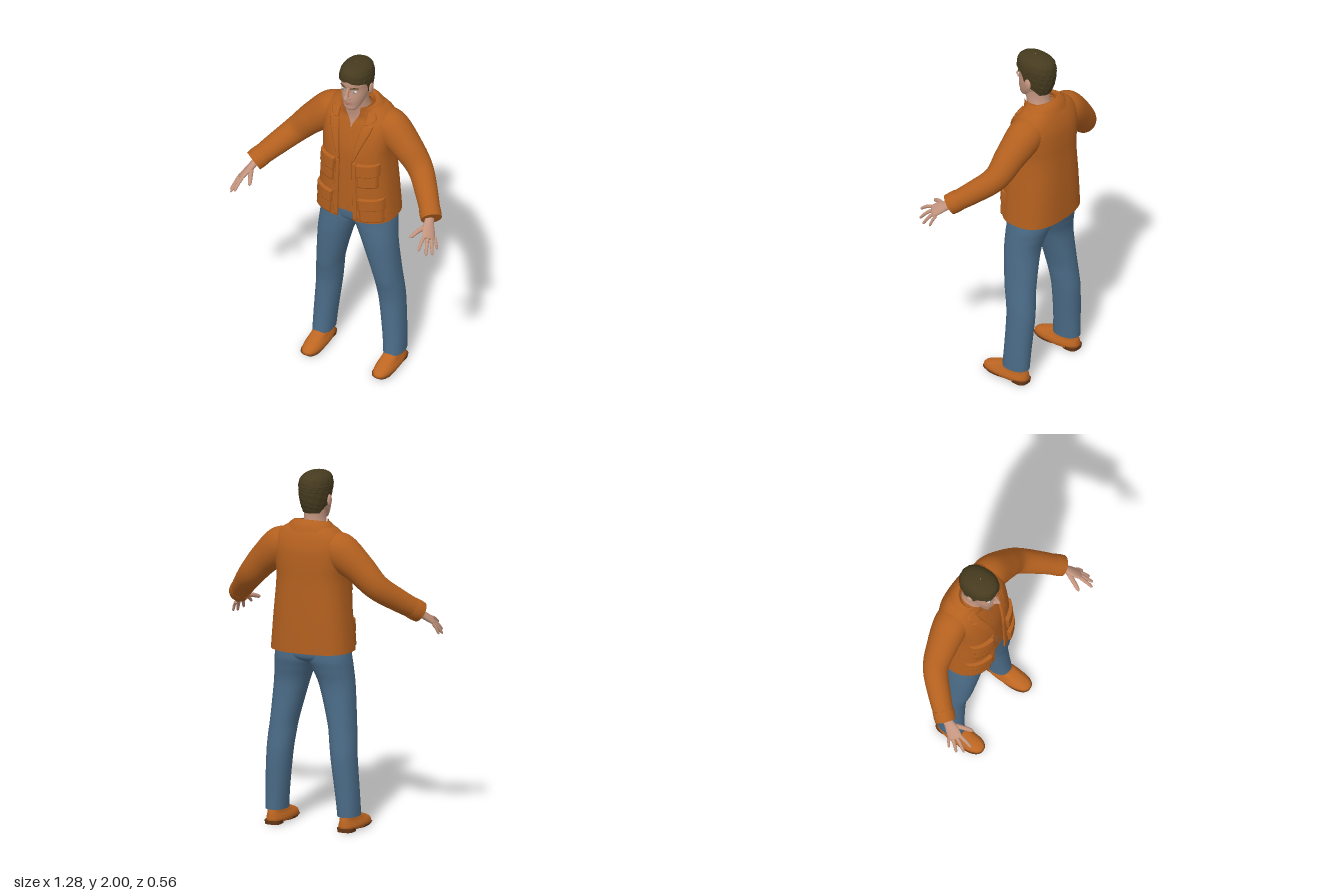
import * as THREE from 'three';

const flat = (color, side = THREE.FrontSide) => new THREE.MeshStandardMaterial({ color, side });
const mats = {
  jacket: flat(0xb3601f, THREE.DoubleSide), jeans: flat(0x4b6c88), skin: flat(0xc4957f),
  hair: flat(0x463b1f, THREE.DoubleSide), shoe: flat(0xbd6622), sole: flat(0x6b3a18),
  eyeWhite: flat(0xd8d4cf), iris: flat(0x5c8398), lips: flat(0xa9705f),
};
for (const k in mats) mats[k].name = k;

// Smooth row of a table at fractional index t
function at(T, t) {
  const i = Math.min(Math.floor(t), T.length - 2), f = t - i;
  const row = k => T[Math.max(0, Math.min(T.length - 1, k))];
  return T[i].map((b, k) => {
    const a = row(i - 1)[k], c = row(i + 1)[k], d = row(i + 2)[k];
    return b + 0.5 * f * (c - a + f * (2 * a - 5 * b + 4 * c - d + f * (3 * (b - c) + d - a)));
  });
}

function build(name, mat, pos, idx) {
  const g = new THREE.BufferGeometry();
  g.setAttribute('position', new THREE.Float32BufferAttribute(pos, 3));
  g.setIndex(idx);
  g.computeVertexNormals();
  const m = new THREE.Mesh(g, mat);
  m.name = name;
  return m;
}

// Skin over rings [cx, cy, cz, ru, rv, frontGap]; side = null keeps rings level, else it is the ru axis
function loft(name, mat, T, { side = null, n = 2, seg = 36, steps = 6, tilt = 0, bump = null } = {}) {
  const pos = [], idx = [], rows = (T.length - 1) * steps, open = T.some(r => r[5] > 0);
  const cols = open ? seg + 1 : seg, sup = v => Math.sign(v) * Math.abs(v) ** (2 / n);
  const P = Array.from({ length: rows + 1 }, (_, i) => at(T, i / steps));
  P.forEach((r, i) => {
    const u = new THREE.Vector3(1, 0, 0), v = new THREE.Vector3(0, 0, 1);
    if (side) {
      const a = P[Math.max(0, i - 1)], b = P[Math.min(rows, i + 1)];
      const t = new THREE.Vector3(b[0] - a[0], b[1] - a[1], b[2] - a[2]).normalize();
      u.set(...side).addScaledVector(t, -t.dot(u.clone().set(...side))).normalize();
      v.crossVectors(u, t);
    }
    const gap = Math.max(0, r[5] || 0);
    for (let j = 0; j < cols; j++) {
      const a = gap + (2 * Math.PI - 2 * gap) * j / seg, k = bump ? bump(a, i / steps) : 1;
      const du = r[3] * k * sup(Math.sin(a)), dv = r[4] * k * sup(Math.cos(a));
      pos.push(r[0] + u.x * du + v.x * dv, r[1] + u.y * du + v.y * dv - tilt * dv, r[2] + u.z * du + v.z * dv);
    }
  });
  for (let i = 0; i < rows; i++) for (let j = 0; j < seg; j++) {
    const a = i * cols + j, b = i * cols + (j + 1) % cols;
    idx.push(a, b, b + cols, a, b + cols, a + cols);
  }
  if (!open) for (const i of [0, rows]) {
    const c = pos.length / 3;
    pos.push(...P[i].slice(0, 3), ...pos.slice(i * cols * 3, (i + 1) * cols * 3));
    for (let j = 0; j < seg; j++) {
      const a = c + 1 + j, b = c + 1 + (j + 1) % seg;
      idx.push(c, i ? a : b, i ? b : a);
    }
  }
  return build(name, mat, pos, idx);
}

// Level rings from rows [y, x0, x1, zBack, zFront, gap]
const level = (R, s = 1) => R.map(([y, x0, x1, z0, z1, g = 0]) =>
  [s * (x0 + x1) / 2, y, (z0 + z1) / 2, (x1 - x0) / 2, (z1 - z0) / 2, g]);
// The same, symmetric about x = 0, from rows [y, rx, zBack, zFront, gap]
const centred = R => level(R.map(([y, r, ...rest]) => [y, -r, r, ...rest]));

const N = 2.6;
const coat = centred([
  [1.005, 0.235, -0.28, 0.055, 0.13], [1.2, 0.218, -0.28, 0.055, 0.125], [1.4, 0.2, -0.275, 0.05, 0.125],
  [1.5, 0.205, -0.275, 0.035, 0.18], [1.58, 0.21, -0.27, 0.01, 0.24], [1.64, 0.2, -0.255, -0.02, 0.33],
  [1.685, 0.165, -0.235, -0.05, 0.39], [1.715, 0.115, -0.215, -0.06, 0.54]]);

// Depth of the jacket front at x, y
function frontZ(x, y) {
  let lo = 0, hi = coat.length - 1;
  for (let k = 0; k < 24; k++) {
    const m = (lo + hi) / 2;
    if (at(coat, m)[1] < y) lo = m; else hi = m;
  }
  const r = at(coat, lo), q = Math.min(1, Math.abs(x / r[3]));
  return r[2] + r[4] * (1 - q ** N) ** (1 / N);
}

// Raised cloth panel on the jacket front, rows [y, xInner, xOuter] going up
function panel(name, R, d, s) {
  const pos = [], idx = [], W = 12, H = 14;
  const edge = (k, m) => k === 0 ? 0 : k === m ? 1 : k === 1 ? 0.03 : k === m - 1 ? 0.97 : (k - 1) / (m - 2);
  for (let i = 0; i <= H; i++) {
    const [y, a, b] = at(R, edge(i, H) * (R.length - 1));
    for (let j = 0; j <= W; j++) {
      const f = edge(j, W), x = s > 0 ? a + (b - a) * f : -b + (b - a) * f;
      const rim = i === 0 || i === H || j === 0 || j === W;
      pos.push(x, y, frontZ(x, y) + (rim ? -0.004 : d));
    }
  }
  for (let i = 0; i < H; i++) for (let j = 0; j < W; j++) {
    const a = i * (W + 1) + j, b = a + W + 1;
    idx.push(a, a + 1, b + 1, a, b + 1, b);
  }
  return build(name, mats.jacket, pos, idx);
}

function ball(name, mat, p, scale) {
  const m = new THREE.Mesh(new THREE.SphereGeometry(1, 20, 14), mat);
  m.name = name;
  m.position.set(...p);
  m.scale.set(...scale);
  return m;
}

const mirror = (R, s) => R.map(([x, ...rest]) => [s * x, ...rest]);

function finger(name, a, b, r, s) {
  const R = [[0, 1], [0.5, 0.92], [0.9, 0.75], [1, 0.2]].map(([f, k]) =>
    [...a.map((v, i) => v + (b[i] - v) * f + (i === 1 ? 0.03 * f * (1 - f) : 0)), r * k, r * k]);
  return loft(name, mats.skin, mirror(R, s), { side: [s, 0, -0.6], seg: 12, steps: 4 });
}

export function createModel() {
  const model = new THREE.Group();
  const add = (...m) => model.add(...m);

  // Jacket, shirt and collars
  add(loft('jacketBody', mats.jacket, coat, { n: N, seg: 64 }));
  add(loft('shirt', mats.jacket, centred([
    [1.045, 0.21, -0.25, 0.034, 0.001], [1.2, 0.2, -0.25, 0.035, 0.001], [1.4, 0.185, -0.25, 0.032, 0.001],
    [1.5, 0.185, -0.25, 0.017, 0.001], [1.6, 0.17, -0.24, -0.012, 0.01], [1.65, 0.14, -0.23, -0.03, 0.16],
    [1.69, 0.095, -0.2, -0.025, 0.42], [1.725, 0.078, -0.18, -0.02, 0.6]]), { n: 2.3, seg: 48 }));
  add(loft('jacketCollar', mats.jacket, centred([
    [1.662, 0.155, -0.245, -0.035, 0.7], [1.7, 0.135, -0.228, -0.035, 0.65], [1.726, 0.108, -0.205, -0.035, 0.65],
    [1.724, 0.094, -0.19, -0.03, 0.65], [1.69, 0.085, -0.18, -0.03, 0.65]]), { tilt: 0.22, seg: 48 }));

  // Jeans seat
  add(loft('jeansSeat', mats.jeans, centred([
    [0.93, 0.05, -0.16, -0.06], [0.96, 0.16, -0.22, -0.002], [1.0, 0.213, -0.235, 0.013],
    [1.07, 0.205, -0.235, 0.016]]), { n: 2.3 }));

  // Head and neck
  add(loft('neck', mats.skin, centred([
    [1.56, 0.12, -0.2, -0.025], [1.63, 0.1, -0.19, -0.036], [1.69, 0.07, -0.17, -0.03],
    [1.74, 0.06, -0.16, -0.018], [1.79, 0.06, -0.16, -0.02]])));
  add(loft('head', mats.skin, centred([
    [1.722, 0.015, -0.02, 0.004], [1.728, 0.033, -0.045, 0.016], [1.742, 0.045, -0.07, 0.023],
    [1.765, 0.057, -0.105, 0.024], [1.79, 0.066, -0.14, 0.028], [1.82, 0.072, -0.16, 0.028],
    [1.862, 0.076, -0.175, 0.024], [1.9, 0.079, -0.18, 0.029], [1.94, 0.076, -0.175, 0.022],
    [1.975, 0.05, -0.14, -0.01]]), { n: 2.15 }));
  add(loft('hair', mats.hair, centred([
    [1.775, 0.062, -0.168, 0, 2.2], [1.805, 0.072, -0.18, 0.02, 1.85], [1.83, 0.079, -0.188, 0.028, 1.45],
    [1.87, 0.085, -0.195, 0.033, 1.32], [1.9, 0.087, -0.197, 0.036, 1.15], [1.916, 0.088, -0.197, 0.037, 0.5],
    [1.928, 0.088, -0.196, 0.037, 0], [1.96, 0.081, -0.187, 0.034, 0], [1.983, 0.063, -0.162, 0.018, 0],
    [1.996, 0.035, -0.125, -0.02, 0], [2.0, 0.002, -0.075, -0.068, 0]]), {
    n: 2.2, seg: 60,
    bump: (a, t) => 1 + 0.014 * Math.sin(9 * a + 2.3 * t) * Math.sin(4.1 * t - 5 * a) + 0.008 * Math.sin(17 * a + 6 * t),
  }));
  add(loft('nose', mats.skin, [
    [0, 1.816, 0.022, 0.014, 0.014], [0, 1.82, 0.036, 0.015, 0.023], [0, 1.828, 0.04, 0.011, 0.022],
    [0, 1.85, 0.03, 0.008, 0.017], [0, 1.88, 0.02, 0.009, 0.01]], { seg: 20 }));
  add(ball('upperLip', mats.lips, [0, 1.782, 0.024], [0.023, 0.005, 0.009]));
  add(ball('lowerLip', mats.lips, [0, 1.773, 0.023], [0.02, 0.006, 0.009]));

  for (const s of [1, -1]) {
    const tag = s > 0 ? 'left' : 'right';
    // Face details
    add(ball(tag + 'Eye', mats.eyeWhite, [s * 0.034, 1.86, 0.012], [0.015, 0.007, 0.009]));
    add(ball(tag + 'Iris', mats.iris, [s * 0.034, 1.86, 0.018], [0.006, 0.006, 0.005]));
    add(ball(tag + 'Nostril', mats.skin, [s * 0.012, 1.82, 0.034], [0.008, 0.008, 0.012]));
    add(ball(tag + 'Ear', mats.skin, [s * 0.086, 1.842, -0.085], [0.01, 0.034, 0.021]));
    add(loft(tag + 'Eyebrow', mats.hair, mirror([
      [0.015, 1.879, 0.024, 0.004, 0.003], [0.035, 1.886, 0.02, 0.004, 0.004],
      [0.056, 1.88, 0.004, 0.002, 0.003]], s), { side: [0, 1, 0], seg: 10 }));

    // Lapels, front edges and pockets
    add(panel(tag + 'Lapel', [[1.4, 0.039, 0.045], [1.5, 0.05, 0.085], [1.59, 0.066, 0.123], [1.63, 0.078, 0.132]], 0.011, s));
    add(panel(tag + 'CollarLeaf', [[1.632, 0.08, 0.105], [1.66, 0.082, 0.138], [1.69, 0.082, 0.12]], 0.012, s));
    add(panel(tag + 'FrontEdge', [[1.008, 0.048, 0.074], [1.2, 0.043, 0.068], [1.41, 0.039, 0.06]], 0.006, s));
    add(panel(tag + 'ChestPocket', [[1.25, 0.075, 0.18], [1.39, 0.07, 0.178]], 0.016, s));
    add(panel(tag + 'ChestFlap', [[1.325, 0.066, 0.184], [1.4, 0.064, 0.182]], 0.023, s));
    add(panel(tag + 'HipPocket', [[1.02, 0.09, 0.21], [1.16, 0.086, 0.203]], 0.016, s));
    add(panel(tag + 'HipFlap', [[1.1, 0.082, 0.212], [1.17, 0.08, 0.207]], 0.022, s));

    // Sleeve with cuff and strap
    add(loft(tag + 'Sleeve', mats.jacket, mirror([
      [0.1, 1.62, -0.14, 0.085, 0.07], [0.18, 1.575, -0.14, 0.098, 0.105], [0.29, 1.485, -0.125, 0.085, 0.088],
      [0.385, 1.385, -0.1, 0.07, 0.074], [0.475, 1.3, -0.01, 0.062, 0.064],
      [0.552, 1.228, 0.083, 0.054, 0.055]], s), { side: [0, 0, 1], steps: 8 }));
    add(loft(tag + 'Cuff', mats.jacket, mirror([
      [0.522, 1.256, 0.047, 0.059, 0.06], [0.54, 1.239, 0.068, 0.06, 0.061],
      [0.556, 1.224, 0.088, 0.058, 0.059]], s), { side: [0, 0, 1] }));
    const strap = ball(tag + 'CuffStrap', mats.jacket, [s * 0.565, 1.278, 0.075], [0.032, 0.01, 0.014]);
    strap.rotation.z = -s * 0.6;
    add(strap);

    // Hand
    const axis = [s * 0.04, -0.025, -0.055];
    add(loft(tag + 'Palm', mats.skin, mirror([
      [0.54, 1.235, 0.07, 0.026, 0.021], [0.553, 1.21, 0.108, 0.029, 0.02], [0.57, 1.186, 0.145, 0.038, 0.017],
      [0.586, 1.164, 0.175, 0.039, 0.013], [0.59, 1.158, 0.183, 0.034, 0.008]], s), { side: axis, seg: 24 }));
    const tips = [[0.575, 1.13, 0.275], [0.611, 1.097, 0.252], [0.631, 1.083, 0.215], [0.634, 1.09, 0.166]];
    tips.forEach((tip, k) => add(finger(tag + 'Finger' + (k + 1),
      [0.569 + 0.0125 * k, 1.174 - 0.008 * k, 0.198 - 0.018 * k], tip, k === 3 ? 0.009 : 0.0105, s)));
    add(finger(tag + 'Thumb', [0.552, 1.198, 0.12], [0.502, 1.17, 0.236], 0.014, s));

    // Trouser leg
    add(loft(tag + 'TrouserLeg', mats.jeans, level([
      [0.085, 0.163, 0.28, -0.195, -0.03], [0.2, 0.152, 0.278, -0.2, -0.04], [0.4, 0.128, 0.268, -0.21, -0.045],
      [0.5, 0.115, 0.262, -0.205, -0.035], [0.6, 0.1, 0.252, -0.2, -0.015], [0.8, 0.045, 0.237, -0.195, 0.007],
      [0.9, 0.006, 0.228, -0.215, 0.012], [0.96, -0.02, 0.222, -0.23, 0.012],
      [1.03, -0.02, 0.21, -0.23, 0.012]], s), { n: 2.2 }));

    // Shoe with sole and heel
    add(loft(tag + 'Shoe', mats.shoe, level([
      [0.012, 0.168, 0.276, -0.192, 0.098], [0.028, 0.165, 0.28, -0.197, 0.104], [0.045, 0.168, 0.276, -0.196, 0.092],
      [0.06, 0.174, 0.27, -0.194, 0.06], [0.076, 0.178, 0.266, -0.19, 0.015], [0.092, 0.18, 0.264, -0.186, -0.028],
      [0.13, 0.185, 0.26, -0.18, -0.05]], s), { n: 2.4 }));
    add(loft(tag + 'Sole', mats.sole, level([
      [0.004, 0.172, 0.272, -0.09, 0.09], [0.018, 0.164, 0.281, -0.1, 0.106]], s), { n: 2.4, steps: 2 }));
    add(loft(tag + 'Heel', mats.sole, level([
      [0, 0.178, 0.268, -0.195, -0.1], [0.022, 0.174, 0.272, -0.199, -0.09]], s), { n: 3, steps: 2 }));
  }
  return model;
}
